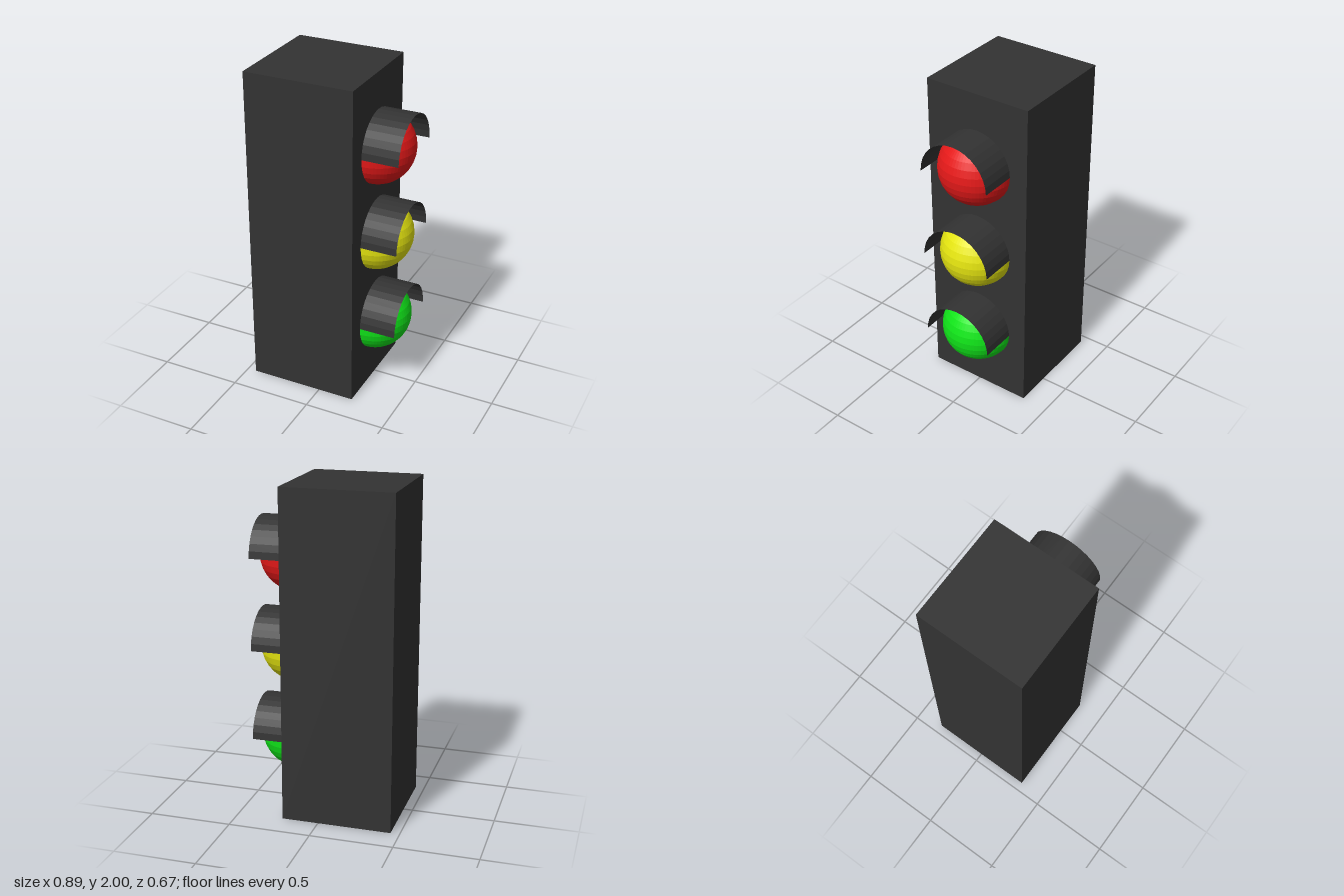
import * as THREE from 'three';

const R = 0.222; // lamp radius
const FACE_X = 0.222; // lamp side of the housing

function addMesh(parent, name, geometry, color, side = THREE.FrontSide) {
  const material = new THREE.MeshStandardMaterial({ color, side, flatShading: true });
  const mesh = new THREE.Mesh(geometry, material);
  mesh.name = name;
  parent.add(mesh);
  return mesh;
}

export function createModel() {
  const model = new THREE.Group();
  model.name = 'trafficLight';

  // Housing
  const housing = addMesh(model, 'housing', new THREE.BoxGeometry(0.667, 2, 0.667), 0x333333);
  housing.position.set(FACE_X - 0.3335, 1, 0);

  // Domed lens bulging towards +x
  const lens = new THREE.SphereGeometry(R, 32, 16, Math.PI / 2, Math.PI);
  // Open half-tube arching over the lens
  const visor = new THREE.CylinderGeometry(R, R, R, 16, 1, true, Math.PI, Math.PI);
  visor.rotateZ(-Math.PI / 2).translate(R / 2, 0, 0);

  const lamps = [
    ['red', 1.556, 0xe61919],
    ['yellow', 1, 0xe6e610],
    ['green', 0.444, 0x10e619],
  ];
  for (const [name, y, color] of lamps) {
    const lamp = new THREE.Group();
    lamp.name = name + 'Lamp';
    lamp.position.set(FACE_X, y, 0);
    addMesh(lamp, name + 'Lens', lens, color);
    addMesh(lamp, name + 'Visor', visor, 0x333333, THREE.DoubleSide);
    model.add(lamp);
  }
  return model;
}
